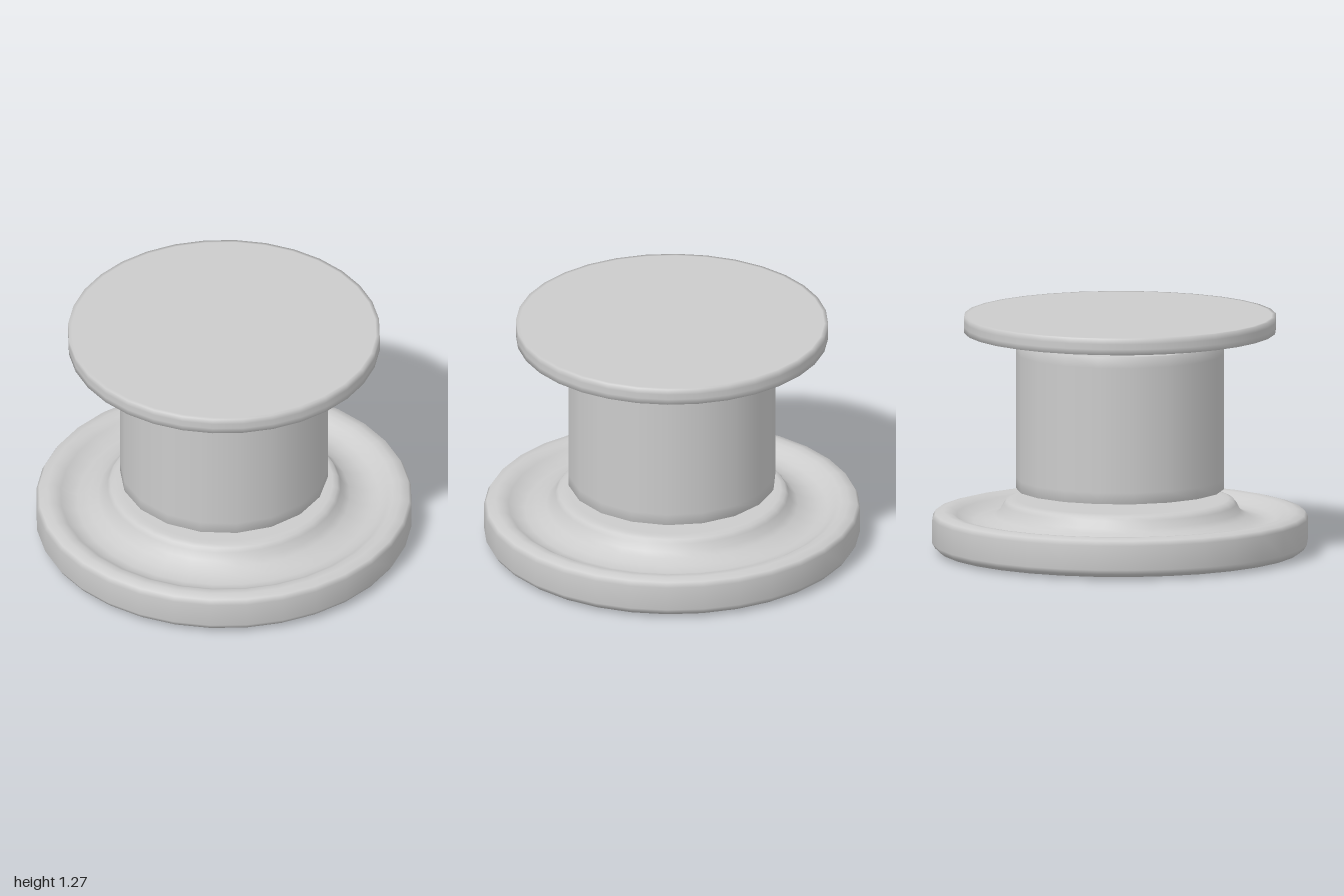
import * as THREE from 'three';

const material = new THREE.MeshStandardMaterial({ color: 0xcccccc });

// Smooth solid of revolution; profile runs from bottom centre to top centre
function turned(name, profile, sides) {
  const points = profile.map(([r, y]) => new THREE.Vector2(r, y));
  const mesh = new THREE.Mesh(new THREE.LatheGeometry(points, sides), material);
  mesh.name = name;
  return mesh;
}

// Drum with support rings close to its edges for soft edge shading
function drum(name, r, y0, y1, band, sides) {
  return turned(name, [
    [0, y0], [r - 0.02, y0], [r, y0], [r, y0 + band],
    [r, y1 - band], [r, y1], [r - 0.02, y1], [0, y1],
  ], sides);
}

export function createModel() {
  const group = new THREE.Group();
  group.name = 'pedestalStand';

  // Dished base with a rounded rim and a raised central boss
  group.add(turned('base', [
    [0, 0], [0.90, 0.01], [0.965, 0.014], [0.985, 0.03], [1, 0.055],
    [1, 0.185], [0.985, 0.21], [0.94, 0.222], [0.90, 0.218],
    [0.87, 0.2], [0.83, 0.175], [0.78, 0.165], [0.72, 0.175],
    [0.67, 0.2], [0.64, 0.222], [0.62, 0.26], [0.605, 0.28],
    [0.58, 0.288], [0.55, 0.287], [0, 0.293],
  ], 32));

  // Floating column
  group.add(drum('column', 0.553, 0.34, 1.13, 0.06, 18));

  // Floating top plate
  group.add(drum('topPlate', 0.83, 1.185, 1.273, 0.03, 32));

  return group;
}
